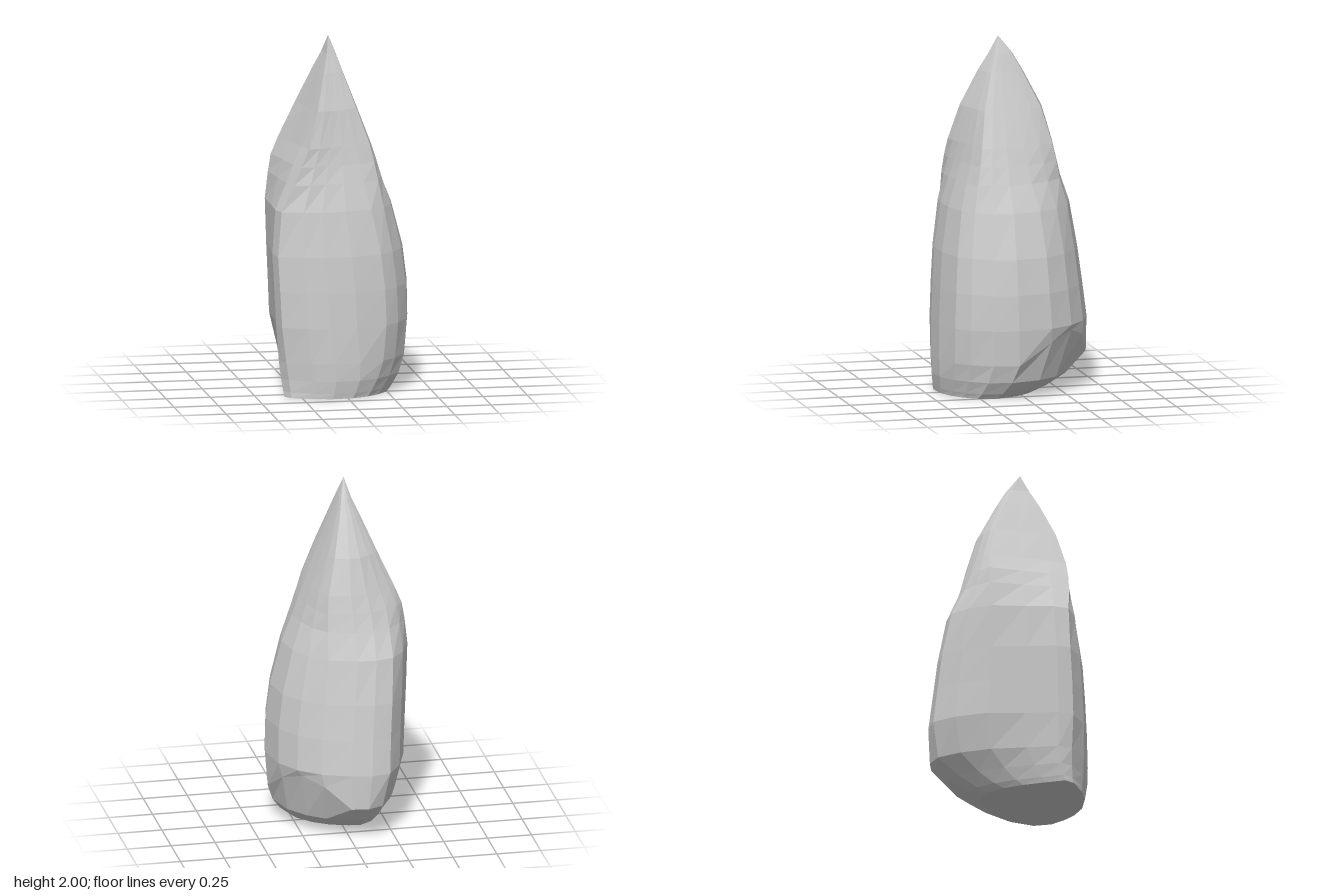
import * as THREE from 'three';

// Plan outlines in -1..1 (x, z), running left front, front, right, back, left
const basePlan = [
  [-1, 0.58], [-0.9, 0.74], [-0.54, 0.92], [-0.18, 1], [0.2, 0.97], [0.5, 0.84],
  [0.72, 0.66], [0.92, 0.42], [1, 0.08], [0.86, -0.36], [0.62, -0.66], [0.34, -0.86],
  [0, -0.98], [-0.22, -1], [-0.42, -0.86], [-0.6, -0.58], [-0.76, -0.22], [-0.89, 0.2],
];
const middlePlan = [
  [-1, 0.61], [-0.95, 0.8], [-0.6, 0.95], [-0.3, 1], [0.1, 0.99], [0.55, 0.88],
  [0.75, 0.72], [0.93, 0.45], [1, 0.15], [0.91, -0.3], [0.7, -0.6], [0.4, -0.82],
  [-0.02, -0.96], [-0.3, -1], [-0.57, -0.95], [-0.77, -0.68], [-0.92, -0.28], [-0.95, 0.2],
];
const upperPlan = [
  [-0.7, 0.62], [-0.58, 1], [-0.32, 0.95], [-0.05, 0.88], [0.25, 0.81], [0.58, 0.73],
  [0.94, 0.62], [1, 0.42], [0.99, 0.12], [0.92, -0.25], [0.82, -0.6], [0.66, -0.9],
  [0.15, -1], [-0.25, -0.95], [-0.6, -0.82], [-0.86, -0.68], [-1, -0.57], [-0.84, 0.05],
];

// Height, then x and z limits of each cross-section
const levels = [
  [0, -0.34, 0.27, -0.15, 0.43],
  [0.03, -0.345, 0.3, -0.22, 0.435],
  [0.1, -0.355, 0.35, -0.33, 0.445],
  [0.2, -0.365, 0.385, -0.435, 0.447],
  [0.4, -0.38, 0.4, -0.445, 0.44],
  [0.6, -0.39, 0.395, -0.42, 0.43],
  [0.8, -0.4, 0.37, -0.395, 0.415],
  [1.05, -0.4, 0.305, -0.35, 0.385],
  [1.2, -0.37, 0.245, -0.29, 0.36],
  [1.3, -0.345, 0.21, -0.262, 0.34],
  [1.4, -0.3, 0.175, -0.235, 0.32],
  [1.6, -0.21, 0.1, -0.175, 0.265],
  [1.8, -0.125, 0.025, -0.07, 0.175],
  [1.9, -0.08, -0.01, -0.01, 0.12],
];
const UNDERCUT_LEVEL = 3;

function stoneGeometry() {
  const n = middlePlan.length;
  const { lerp, smoothstep } = THREE.MathUtils;
  const positions = [];
  const index = [];
  levels.forEach(([y, x0, x1, z0, z1], k) => {
    const rise = smoothstep(y, 0.04, 0.36);
    const taper = smoothstep(y, 0.9, 1.45);
    for (let j = 0; j < n; j++) {
      const [u, v] = [0, 1].map((c) =>
        lerp(lerp(basePlan[j][c], middlePlan[j][c], rise), upperPlan[j][c], taper));
      // the undercut edge climbs at the right back corner
      const lift = k === UNDERCUT_LEVEL ? 0.4 * Math.max(0, u) * Math.max(0, -v) : 0;
      positions.push(
        (x0 + x1) / 2 + (u * (x1 - x0)) / 2,
        y + lift,
        (z0 + z1) / 2 + (v * (z1 - z0)) / 2,
      );
    }
  });
  // sides
  for (let k = 0; k < levels.length - 1; k++) {
    for (let j = 0; j < n; j++) {
      const a = k * n + j;
      const b = k * n + ((j + 1) % n);
      index.push(a, b, b + n, a, b + n, a + n);
    }
  }
  // tip and base
  const tip = levels.length * n;
  const base = tip + 1;
  positions.push(-0.05, 2, 0.07, -0.03, 0, 0.14);
  for (let j = 0; j < n; j++) {
    const next = (j + 1) % n;
    index.push(tip - n + j, tip - n + next, tip);
    index.push(base, next, j);
  }
  const indexed = new THREE.BufferGeometry();
  indexed.setAttribute('position', new THREE.Float32BufferAttribute(positions, 3));
  indexed.setIndex(index);
  // separate triangles give flat facets
  const faceted = indexed.toNonIndexed();
  faceted.computeVertexNormals();
  return faceted;
}

export function createModel() {
  const stone = new THREE.MeshStandardMaterial({ color: 0xcccccc });
  stone.name = 'grey stone';
  const mesh = new THREE.Mesh(stoneGeometry(), stone);
  mesh.name = 'pointedStone';
  const group = new THREE.Group();
  group.name = 'standingStone';
  group.add(mesh);
  return group;
}
